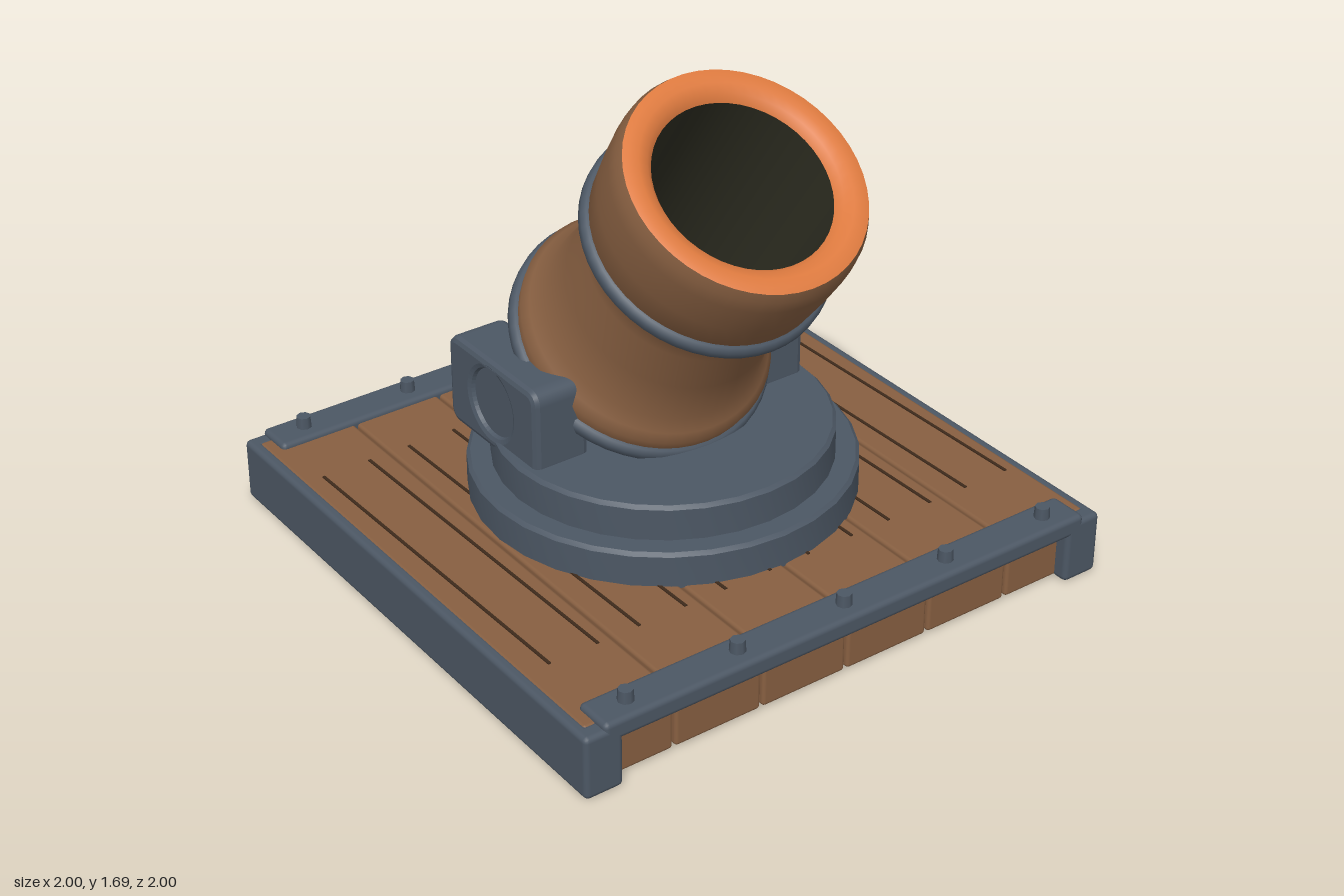
import * as THREE from 'three';
import { toCreasedNormals } from 'three/addons/utils/BufferGeometryUtils.js';
import { RoundedBoxGeometry } from 'three/addons/geometries/RoundedBoxGeometry.js';

const mat = (name, color) => {
  const m = new THREE.MeshStandardMaterial({ color });
  m.name = name;
  return m;
};

export function createModel() {
  const wood = mat('wood', 0x875f41);
  const iron = mat('iron', 0x4c5764);
  const copper = mat('copper', 0xdd7a3f);
  const dark = mat('bore dark', 0x2e2e22);
  const grain = mat('grain', 0x3e2a1b);

  const model = new THREE.Group();
  model.name = 'mortar';

  const add = (parent, name, geometry, material, x = 0, y = 0, z = 0) => {
    const mesh = new THREE.Mesh(geometry, material);
    mesh.name = name;
    mesh.position.set(x, y, z);
    parent.add(mesh);
    return mesh;
  };
  // Rounded box given by its min and max corners
  const block = (parent, name, material, a, b, r = 0.012) =>
    add(parent, name, new RoundedBoxGeometry(b[0] - a[0], b[1] - a[1], b[2] - a[2], 2, r), material,
      (a[0] + b[0]) / 2, (a[1] + b[1]) / 2, (a[2] + b[2]) / 2);
  const lathe = (points, segments, crease = 0.6) => toCreasedNormals(
    new THREE.LatheGeometry(points.map(p => new THREE.Vector2(p[0], p[1])), segments), crease);

  // Platform: six planks with two grain lines each
  const platform = new THREE.Group();
  platform.name = 'platform';
  model.add(platform);
  for (let i = 0; i < 6; i++) {
    const x = (i - 2.5) * 0.325;
    block(platform, 'plank', wood, [x - 0.158, 0.005, -0.95], [x + 0.158, 0.222, 0.95]);
    for (const offset of [-0.078, 0.095]) {
      const line = add(platform, 'grainLine', new THREE.BoxGeometry(0.01, 0.006, 1.28), grain,
        x + offset, 0.223, 0);
      line.rotation.y = 0.02;
    }
  }

  // Iron side rails with lips around the corners
  for (const s of [-1, 1]) {
    const side = (name, x0, x1, z0, z1) => block(platform, name, iron,
      [Math.min(s * x0, s * x1), 0, z0], [Math.max(s * x0, s * x1), 0.22, z1], 0.018);
    side('sideRail', 0.955, 1, -1, 1);
    side('cornerLip', 0.865, 0.998, 0.935, 1);
    side('cornerLip', 0.865, 0.998, -1, -0.935);
  }

  // Front and back straps with bolts
  for (const s of [-1, 1]) {
    block(platform, 'strap', iron, [-0.93, 0.17, s * 0.93 - 0.07], [0.93, 0.24, s * 0.93 + 0.07], 0.018);
    for (let i = -2; i <= 2; i++)
      add(platform, 'bolt', new THREE.CylinderGeometry(0.024, 0.027, 0.05, 8), iron, i * 0.405, 0.255, s * 0.93);
  }

  // Stepped turntable
  const step = (r, y0, y1) => lathe([[0, y0], [r, y0], [r, y1 - 0.012], [r - 0.012, y1], [0, y1]], 32);
  add(model, 'turntableLower', step(0.638, 0.215, 0.34), iron);
  add(model, 'turntableUpper', step(0.56, 0.33, 0.46), iron);

  // Trunnion cheeks: rounded blocks with a round socket
  const b = 0.02, z0 = -0.445 + b, z1 = 0.055 - b, y0 = 0.415 + b, y1 = 0.73 - b, c = 0.03;
  const cheek = new THREE.Shape();
  cheek.moveTo(z0 + c, y0);
  cheek.lineTo(z1 - c, y0);
  cheek.quadraticCurveTo(z1, y0, z1, y0 + c);
  cheek.lineTo(z1, y1 - c);
  cheek.quadraticCurveTo(z1, y1, z1 - c, y1);
  cheek.lineTo(z0 + c, y1);
  cheek.quadraticCurveTo(z0, y1, z0, y1 - c);
  cheek.lineTo(z0, y0 + c);
  cheek.quadraticCurveTo(z0, y0, z0 + c, y0);
  const socket = new THREE.Path();
  socket.absarc(-0.2, 0.58, 0.135, 0, Math.PI * 2, true);
  cheek.holes.push(socket);
  const cheekGeometry = new THREE.ExtrudeGeometry(cheek, {
    depth: 0.16, bevelThickness: b, bevelSize: b, bevelSegments: 2, curveSegments: 24,
  });
  cheekGeometry.translate(0, 0, -0.08);
  cheekGeometry.rotateY(-Math.PI / 2);
  for (const s of [-1, 1]) add(model, 'cheek', cheekGeometry, iron, s * 0.428);
  const trunnion = add(model, 'trunnion', new THREE.CylinderGeometry(0.13, 0.13, 1.02, 32), iron, 0, 0.58, -0.2);
  trunnion.rotation.z = Math.PI / 2;

  // Barrel, tilted forward, with its origin at the muzzle
  const barrel = new THREE.Group();
  barrel.name = 'barrel';
  barrel.position.set(0, 1.465, 0.42);
  barrel.rotation.x = THREE.MathUtils.degToRad(35);
  model.add(barrel);
  add(barrel, 'barrelWall', lathe([
    [0.31, -1.075], [0.36, -1.07], [0.4, -1.01], [0.418, -0.94], [0.425, -0.88], [0.405, -0.85],
    [0.374, -0.81], [0.35, -0.65], [0.336, -0.5], [0.33, -0.4], [0.365, -0.36], [0.388, -0.32],
    [0.4, -0.2], [0.406, -0.08], [0.402, -0.03], [0.39, 0],
  ], 48, 1), wood);
  add(barrel, 'muzzleLip', lathe([[0.39, 0], [0.37, 0.006], [0.34, 0.006], [0.31, -0.004], [0.29, -0.03]], 48, 1), copper);
  add(barrel, 'bore', lathe([[0.29, -0.03], [0.285, -0.9], [0, -0.92]], 48), dark);
  add(barrel, 'breechOpening', lathe([[0, -1.06], [0.315, -1.075]], 48), dark);

  // Barrel hoops
  const hoop = (r, y) => add(barrel, 'hoop', lathe([
    [r - 0.05, y - 0.03], [r - 0.012, y - 0.028], [r, y - 0.012],
    [r, y + 0.012], [r - 0.012, y + 0.028], [r - 0.05, y + 0.03],
  ], 48, 1), iron);
  hoop(0.41, -0.335);
  hoop(0.442, -0.95);

  return model;
}
